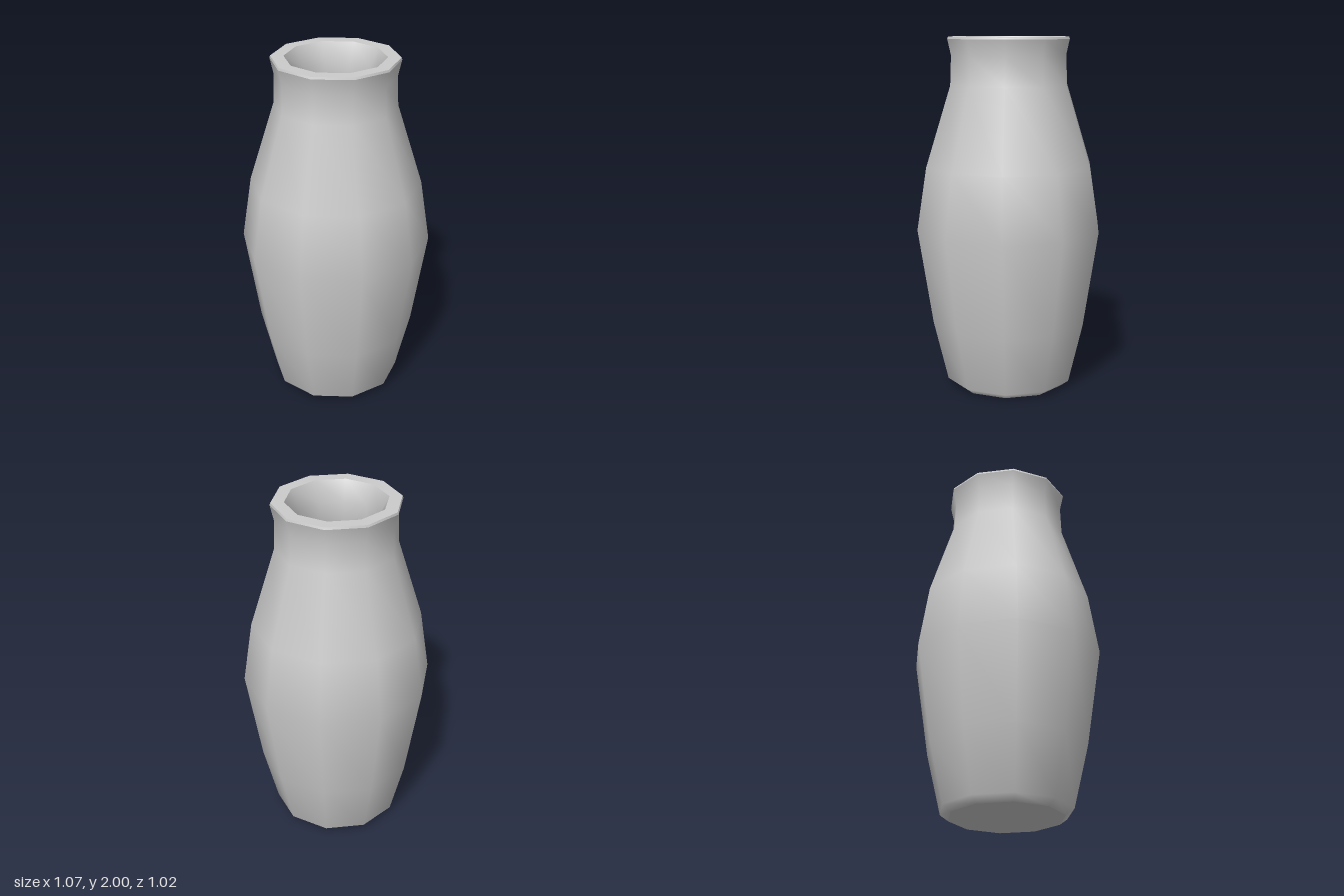
import * as THREE from 'three';

const SIDES = 10;

// Smooth ten-sided surface of revolution with corners on the x axis
function turned(name, profile) {
  const points = profile.map(([r, y]) => new THREE.Vector2(r, y));
  const geometry = new THREE.LatheGeometry(points, SIDES, Math.PI / 2);
  const material = new THREE.MeshStandardMaterial({ color: 0xcccccc });
  const mesh = new THREE.Mesh(geometry, material);
  mesh.name = name;
  return mesh;
}

export function createModel() {
  const vase = new THREE.Group();
  vase.name = 'vase';

  // Flat underside
  vase.add(turned('base', [[0, 0], [0.32, 0]]));

  // Outer wall: foot bevel, belly, shoulder, neck and flared lip
  vase.add(turned('outerWall', [
    [0.32, 0], [0.367, 0.035], [0.45, 0.38], [0.535, 0.925], [0.48, 1.28],
    [0.338, 1.735], [0.332, 1.9], [0.352, 1.988],
  ]));

  // Lip: tiny outer bevel and flat top
  vase.add(turned('lipEdge', [[0.352, 1.988], [0.348, 2]]));
  vase.add(turned('lip', [[0.348, 2], [0.277, 2]]));

  // Hollow inside: narrowed throat, wider belly and floor
  vase.add(turned('innerWall', [
    [0.277, 2], [0.222, 1.89], [0.228, 1.72], [0.37, 1.27], [0.425, 0.925],
    [0.345, 0.4], [0.27, 0.12], [0, 0.1],
  ]));

  return vase;
}
